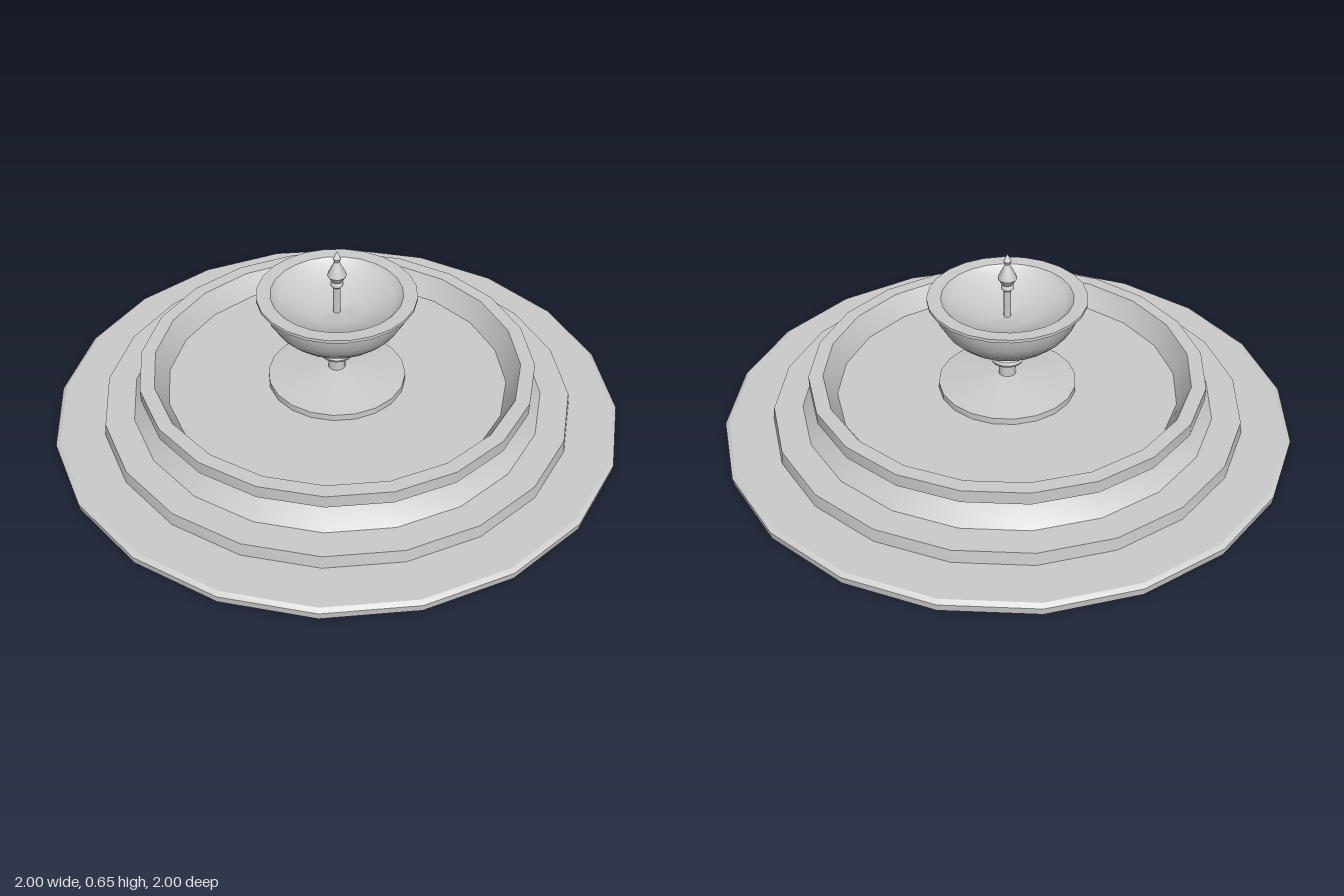
import * as THREE from 'three';
import { toCreasedNormals } from 'three/addons/utils/BufferGeometryUtils.js';

const material = new THREE.MeshStandardMaterial({ color: 0xcccccc, side: THREE.DoubleSide });

// Turned part from a [radius, height] profile; soft around, crisp at the steps
function turned(name, sides, crease, profile) {
  const points = profile.map(([r, y]) => new THREE.Vector2(r, y));
  const geometry = toCreasedNormals(new THREE.LatheGeometry(points, sides), crease);
  const mesh = new THREE.Mesh(geometry, material);
  mesh.name = name;
  return mesh;
}

export function createModel() {
  const fountain = new THREE.Group();
  fountain.name = 'fountain';

  fountain.add(
    // Open-bottomed paving ring and step
    turned('steps', 20, 0.5, [
      [0.997, 0], [1, 0.025], [0.985, 0.035], [0.83, 0.035],
      [0.825, 0.08], [0.725, 0.08],
    ]),
    // Pool wall with overhanging rim, sloping inside and floor
    turned('pool', 20, 0.5, [
      [0.725, 0.08], [0.69, 0.12], [0.665, 0.16], [0.695, 0.16], [0.695, 0.205],
      [0.645, 0.205], [0.6, 0.125], [0.243, 0.125],
    ]),
    // Low conical plinth in the middle of the pool
    turned('plinth', 20, 0.5, [[0.243, 0.125], [0.243, 0.148], [0.03, 0.175]]),
    // Column with a rounded collar
    turned('pedestal', 20, 0.6, [
      [0.03, 0.175], [0.03, 0.215], [0.036, 0.222], [0.055, 0.23], [0.06, 0.24],
      [0.055, 0.249], [0.035, 0.256], [0.033, 0.265], [0.037, 0.28],
    ]),
    // Bowl: outside, flat lip, then the shallow inside
    turned('bowl', 24, 0.65, [
      [0.037, 0.28], [0.11, 0.308], [0.18, 0.342], [0.215, 0.375], [0.24, 0.415],
      [0.252, 0.455], [0.255, 0.474], [0.275, 0.476], [0.275, 0.487],
      [0.227, 0.485], [0.2, 0.458], [0.1, 0.425], [0.012, 0.41],
    ]),
    // Stem and pointed finial
    turned('finial', 12, 0.6, [
      [0.013, 0.41], [0.013, 0.51], [0.022, 0.518], [0.022, 0.528], [0.018, 0.534],
      [0.033, 0.558], [0.03, 0.568], [0.012, 0.604], [0.009, 0.612],
      [0.014, 0.624], [0, 0.652],
    ]),
  );
  return fountain;
}
